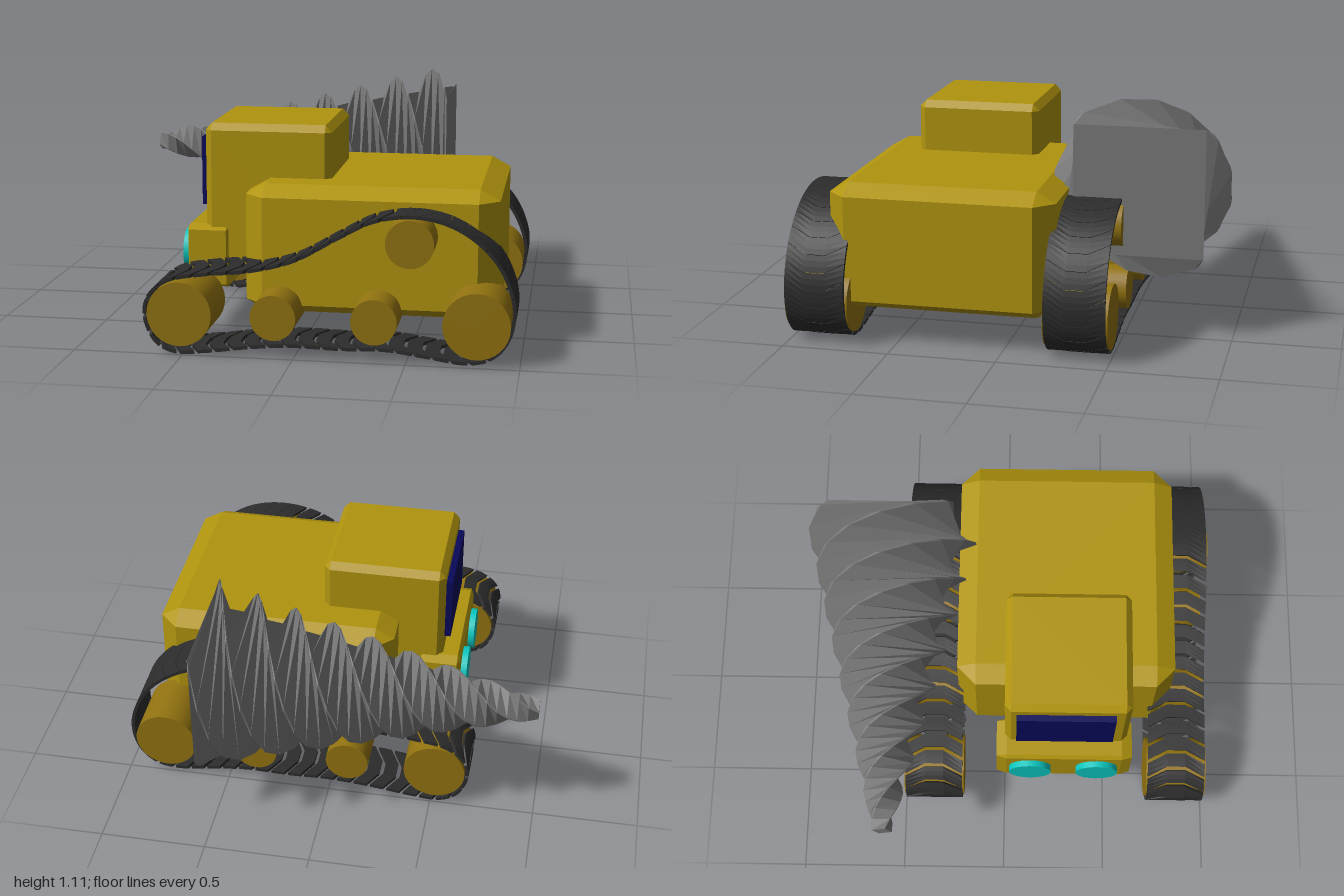
import * as THREE from 'three';
import { ConvexGeometry } from 'three/addons/geometries/ConvexGeometry.js';
import { mergeGeometries } from 'three/addons/utils/BufferGeometryUtils.js';

const mat = (name, color) => {
  const m = new THREE.MeshStandardMaterial({ color });
  m.name = name;
  return m;
};

// Box given by its limits, with all edges cut off by (cx, cy, cz)
function chamferBox(x0, x1, y0, y1, z0, z1, cx, cy, cz) {
  const pts = [];
  for (const i of [0, 1]) for (const j of [0, 1]) for (const k of [0, 1]) {
    const x = i ? x1 : x0, y = j ? y1 : y0, z = k ? z1 : z0;
    const xi = i ? x - cx : x + cx, yi = j ? y - cy : y + cy, zi = k ? z - cz : z + cz;
    pts.push(new THREE.Vector3(x, yi, zi), new THREE.Vector3(xi, y, zi), new THREE.Vector3(xi, yi, z));
  }
  return new ConvexGeometry(pts);
}

// Faceted skin over rings of equal (even) point count, with closed ends
function loft(rings) {
  const pos = [], m = rings[0].length, last = rings.length - 1;
  const quad = (a, b, c, d) => [a, b, c, a, c, d].forEach((p) => pos.push(...p));
  for (let i = 0; i < last; i++) {
    for (let j = 0; j < m; j++) {
      const k = (j + 1) % m;
      quad(rings[i][j], rings[i][k], rings[i + 1][k], rings[i + 1][j]);
    }
  }
  const s = rings[0], e = rings[last];
  for (let j = 0; j < m / 2 - 1; j++) {
    quad(s[m - 1 - j], s[m - 2 - j], s[j + 1], s[j]);
    quad(e[j], e[j + 1], e[m - 2 - j], e[m - 1 - j]);
  }
  const g = new THREE.BufferGeometry();
  g.setAttribute('position', new THREE.Float32BufferAttribute(pos, 3));
  g.computeVertexNormals();
  return g;
}

// Square bar that tapers and twists a quarter turn every 0.187
function drillGeometry() {
  const rings = [], x0 = -0.99, x1 = 0.545, n = 33;
  const ring = (x, h, k) => {
    const t = ((x - 0.56) / 0.187) * (Math.PI / 2), c = Math.cos(t), s = Math.sin(t);
    return [[h, -k], [h, k], [k, h], [-k, h], [-h, k], [-h, -k], [-k, -h], [k, -h]]
      .map(([a, b]) => [x, 0.7 + a * c - b * s, -0.565 + a * s + b * c]);
  };
  for (let i = 0; i <= n; i++) {
    const h = 0.035 + (0.285 * i) / n;
    rings.push(ring(x0 + ((x1 - x0) * i) / n, h, h * 0.93));
  }
  rings.push(ring(0.56, 0.302, 0.298));
  return loft(rings);
}

// Chevron plates laid along a closed belt path
function trackGeometry() {
  const path = new THREE.CatmullRomCurve3([
    [-0.675, 0.18], [-0.65, 0.27], [-0.57, 0.335], [-0.4, 0.37], [-0.2, 0.392], [0, 0.445], [0.2, 0.555],
    [0.35, 0.632], [0.52, 0.66], [0.68, 0.632], [0.82, 0.55], [0.92, 0.43], [0.973, 0.26], [0.945, 0.12],
    [0.87, 0.04], [0.77, 0.017], [0.6, 0.037], [0.42, 0.06], [0.2, 0.056], [0, 0.06],
    [-0.2, 0.045], [-0.4, 0.018], [-0.54, 0.011], [-0.625, 0.055],
  ].map(([x, y]) => new THREE.Vector3(x, y, 0)), true);
  path.arcLengthDivisions = 600;
  const len = path.getLength(), count = 48, pitch = len / count, plates = [];
  const at = (s, off, z) => {
    const u = (((s / len) % 1) + 1) % 1, p = path.getPointAt(u), t = path.getTangentAt(u);
    return [p.x - t.y * off, p.y + t.x * off, z];
  };
  for (let i = 0; i < count; i++) {
    const mid = at(i * pitch, 0, 0);
    const gap = mid[0] > 0.35 && mid[1] > 0.1 ? 0.002 : 0.018; // plates close up around the back
    const rings = [[-0.14, 0], [-0.045, 0.05], [0.045, 0.05], [0.14, 0]].map(([z, shift]) => {
      const inner = [], outer = [];
      for (let k = 0; k <= 3; k++) {
        const s = i * pitch + shift + ((pitch - gap) * k) / 3;
        inner.push(at(s, -0.008, z));
        outer.unshift(at(s, 0.008, z));
      }
      return [...inner, ...outer];
    });
    plates.push(loft(rings));
  }
  return mergeGeometries(plates);
}

export function createModel() {
  const root = new THREE.Group();
  root.name = 'drillVehicle';
  const yellow = mat('body yellow', 0xb0940e), ochre = mat('wheel ochre', 0x927310);
  const steel = mat('drill grey', 0x787878), rubber = mat('track black', 0x2c2c2c);
  const glass = mat('window navy', 0x08085a), lamp = mat('headlight cyan', 0x0cc8c0);
  const add = (parent, name, geo, material, x = 0, y = 0, z = 0) => {
    const mesh = new THREE.Mesh(geo, material);
    mesh.name = name;
    mesh.position.set(x, y, z);
    parent.add(mesh);
    return mesh;
  };

  // Hull, cab and nose
  add(root, 'hull', chamferBox(-0.26, 0.89, 0.15, 0.74, -0.235, 0.82, 0.09, 0.05, 0.09), yellow);
  add(root, 'cab', chamferBox(-0.48, 0.11, 0.275, 0.985, 0, 0.595, 0.03, 0.033, 0.03), yellow);
  add(root, 'nose', chamferBox(-0.57, -0.365, 0.21, 0.51, -0.04, 0.62, 0.015, 0.022, 0.05), yellow);

  // Windscreen and headlights
  add(root, 'windscreen', new THREE.BoxGeometry(0.03, 0.32, 0.465), glass, -0.495, 0.75, 0.288);
  for (const z of [0.125, 0.452]) {
    const light = add(root, 'headlight', new THREE.CylinderGeometry(0.102, 0.102, 0.03, 32), lamp, -0.585, 0.36, z);
    light.rotation.z = Math.PI / 2;
  }

  // Side drill
  add(root, 'drill', drillGeometry(), steel);

  // Wheels and track on each side
  const track = trackGeometry();
  const wheels = [[-0.515, 0.185, 0.147], [-0.09, 0.185, 0.103], [0.36, 0.185, 0.103], [0.81, 0.185, 0.149], [0.515, 0.54, 0.107]];
  for (const [name, z] of [['outerTrackUnit', 0.85], ['drillSideTrackUnit', -0.35]]) {
    const unit = new THREE.Group();
    unit.name = name;
    unit.position.z = z;
    for (const [x, y, r] of wheels) {
      add(unit, 'wheel', new THREE.CylinderGeometry(r, r, 0.295, 32), ochre, x, y, 0).rotation.x = Math.PI / 2;
    }
    add(unit, 'track', track, rubber);
    root.add(unit);
  }
  return root;
}
